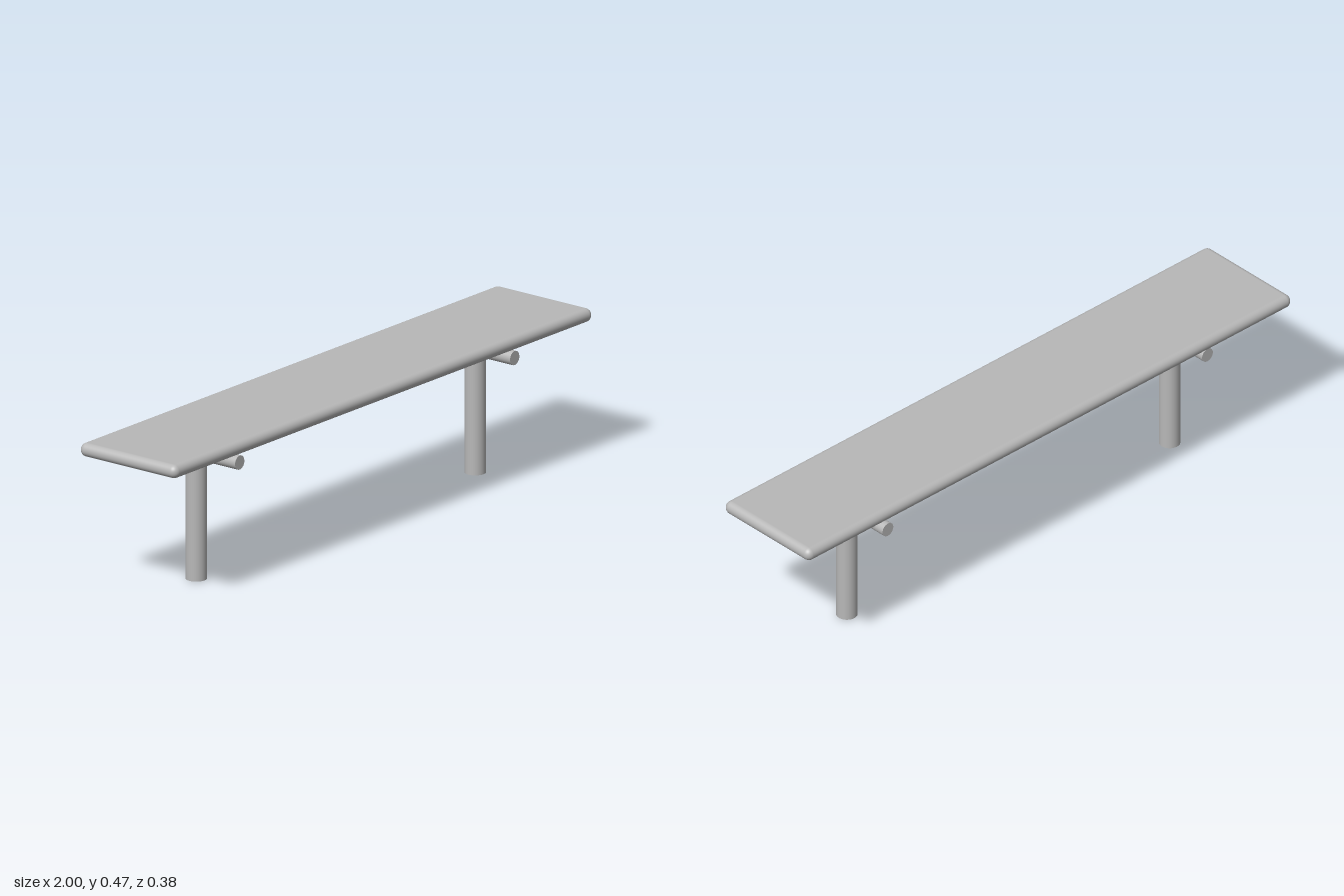
import * as THREE from 'three';
import { RoundedBoxGeometry } from 'three/addons/geometries/RoundedBoxGeometry.js';

export function createModel() {
  const bench = new THREE.Group();
  bench.name = 'bench';
  const metal = new THREE.MeshStandardMaterial({ color: 0xb8b8b8 });
  metal.name = 'grey metal';

  const add = (name, geometry, x, y, z) => {
    const mesh = new THREE.Mesh(geometry, metal);
    mesh.name = name;
    mesh.position.set(x, y, z);
    bench.add(mesh);
  };

  // Seat plank with fully rounded edges
  add('seat', new RoundedBoxGeometry(2, 0.043, 0.376, 6, 0.0213), 0, 0.4515, 0);

  // Each post carries a crossbar; the two bars sit at slightly different heights
  const supports = [
    { side: 'left', x: 0.665, barX: 0.662, barY: 0.393, front: 0.155, back: -0.177 },
    { side: 'right', x: -0.667, barX: -0.667, barY: 0.4, front: 0.168, back: -0.166 },
  ];
  for (const s of supports) {
    add(s.side + 'Post', new THREE.CylinderGeometry(0.0325, 0.0325, 0.423, 32), s.x, 0.2115, 0);
    const bar = new THREE.CylinderGeometry(0.0222, 0.0222, s.front - s.back, 32).rotateX(Math.PI / 2);
    add(s.side + 'Crossbar', bar, s.barX, s.barY, (s.front + s.back) / 2);
  }
  return bench;
}
